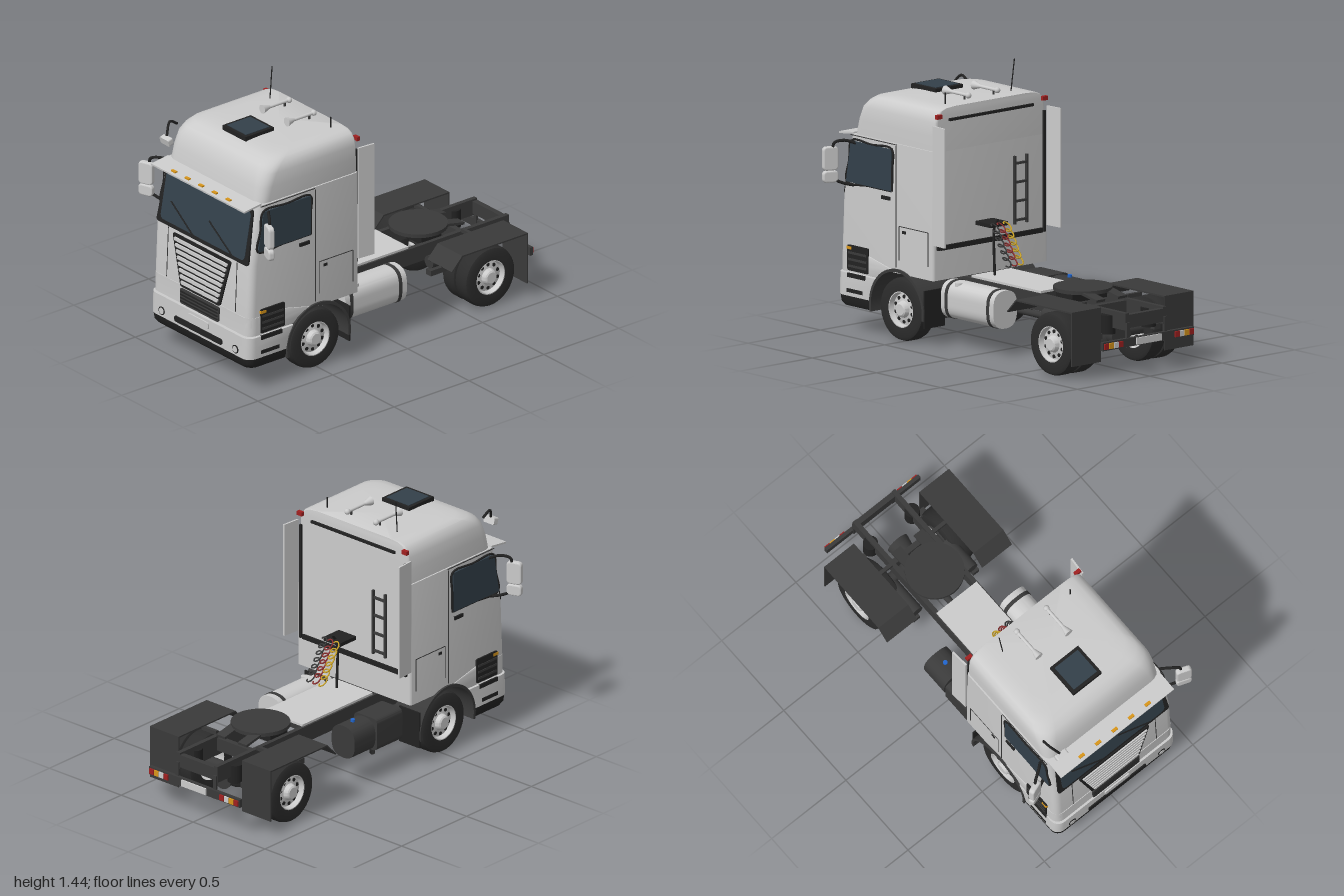
import * as THREE from 'three';
import { toCreasedNormals } from 'three/addons/utils/BufferGeometryUtils.js';

const mat = (color) => new THREE.MeshStandardMaterial({ color, side: THREE.DoubleSide });
const grey = mat(0xcccccc), dark = mat(0x3a3a3a), black = mat(0x222222), rubber = mat(0x2c2c2c);
const glass = mat(0x33404a), amber = mat(0xd9961a), red = mat(0xa02020), white = mat(0xeeeeee), blue = mat(0x2266cc);
const V = (x, y, z) => new THREE.Vector3(x, y, z);

// Rounded-rectangle sections stacked in y; level = [y, halfWidth, zFront, zBack, frontRadius]
function loft(levels) {
  const n = 6, ring = 4 * (n + 1), pos = [], idx = [];
  for (const [y, w, zf, zb, r] of levels) {
    for (let c = 0; c < 4; c++) for (let k = 0; k <= n; k++) {
      const a = (c + k / n) * Math.PI / 2, front = c === 0 || c === 3, q = front ? r : 0.015;
      pos.push((c < 2 ? w - q : q - w) + q * Math.sin(a), y, (front ? zf - q : zb + q) + q * Math.cos(a));
    }
  }
  for (let j = 0; j < levels.length - 1; j++) for (let i = 0; i < ring; i++) {
    const a = j * ring + i, b = j * ring + (i + 1) % ring;
    idx.push(a, b, b + ring, a, b + ring, a + ring);
  }
  [levels[0], levels.at(-1)].forEach((l, t) => {
    const c = pos.length / 3, base = t ? (levels.length - 1) * ring : 0;
    pos.push(0, l[0], (l[2] + l[3]) / 2);
    for (let i = 0; i < ring; i++) {
      const p = base + i, q = base + (i + 1) % ring;
      idx.push(c, t ? p : q, t ? q : p);
    }
  });
  const g = new THREE.BufferGeometry();
  g.setAttribute('position', new THREE.Float32BufferAttribute(pos, 3));
  g.setIndex(idx);
  return toCreasedNormals(g, 0.6);
}

// Trapezoid with rounded corners: half widths at bottom and top
function panel(wb, wt, y0, y1, r = 0.012, cx = 0) {
  const p = [[-wb, y0], [wb, y0], [wt, y1], [-wt, y1]].map(([x, y]) => new THREE.Vector2(x + cx, y));
  const s = new THREE.Shape();
  p.forEach((c, i) => {
    const a = p[(i + 3) % 4], b = p[(i + 1) % 4];
    const u = c.clone().add(a.clone().sub(c).setLength(r)), v = c.clone().add(b.clone().sub(c).setLength(r));
    if (i) s.lineTo(u.x, u.y); else s.moveTo(u.x, u.y);
    s.quadraticCurveTo(c.x, c.y, v.x, v.y);
  });
  s.closePath();
  return s;
}
const extrude = (s, depth) => new THREE.ExtrudeGeometry(s, { depth, bevelEnabled: false, curveSegments: 16 }).translate(0, 0, -depth / 2);

// z of the cab front at height y
function frontZ(y) {
  if (y < 0.31) return 0.985;
  return y < 0.71 ? 0.972 - (y - 0.36) * 0.043 : 0.957 - (y - 0.71) * 0.178;
}

export function createModel() {
  const root = new THREE.Group();
  const add = (name, geo, m, x = 0, y = 0, z = 0) => {
    const o = new THREE.Mesh(geo, m);
    o.name = name; o.position.set(x, y, z); root.add(o);
    return o;
  };
  const box = (name, m, w, h, d, x, y, z) => add(name, new THREE.BoxGeometry(w, h, d), m, x, y, z);
  const cyl = (name, m, r, h, x, y, z, axis = 'y', r2 = r) => {
    const g = new THREE.CylinderGeometry(r, r2, h, 28);
    if (axis === 'x') g.rotateZ(-Math.PI / 2);
    if (axis === 'z') g.rotateX(Math.PI / 2);
    return add(name, g, m, x, y, z);
  };
  const tube = (name, m, r, pts, seg = 20) =>
    add(name, new THREE.TubeGeometry(new THREE.CatmullRomCurve3(pts), seg, r, 8), m);
  const drape = (name, m, shape, off = 0) => {
    const g = extrude(shape, 0.012), p = g.attributes.position;
    for (let i = 0; i < p.count; i++) p.setZ(i, p.getZ(i) + frontZ(p.getY(i)) + off);
    g.computeVertexNormals();
    return add(name, g, m);
  };
  const sidePanel = (name, m, shape, x, depth = 0.01) => add(name, extrude(shape, depth).rotateY(-Math.PI / 2), m, x);
  const both = (f) => [-1, 1].forEach(f);

  // Cab shell, roof cap and bumper
  const arch = (y) => 0.515 + Math.sqrt(Math.max(0, 0.21 ** 2 - (y - 0.17) ** 2));
  add('cab', loft([[0.36, 0.395, 0.972, 0.24, 0.04], [0.71, 0.395, 0.957, 0.24, 0.04], [1.04, 0.388, 0.898, 0.24, 0.04]]), grey);
  add('roof', loft([[1.035, 0.38, 0.89, 0.24, 0.06], [1.12, 0.38, 0.875, 0.24, 0.07], [1.19, 0.377, 0.852, 0.24, 0.08],
    [1.225, 0.367, 0.825, 0.24, 0.09], [1.25, 0.347, 0.785, 0.24, 0.09], [1.262, 0.315, 0.73, 0.24, 0.09], [1.266, 0.26, 0.66, 0.24, 0.09]]), grey);
  const low = (y, w, z) => [y, w, z, arch(y), 0.05];
  add('bumperSill', loft([low(0.13, 0.39, 0.965), low(0.15, 0.4, 0.98), low(0.185, 0.403, 0.984)]), black);
  add('bumper', loft([low(0.185, 0.405, 0.985), low(0.25, 0.405, 0.985), low(0.305, 0.403, 0.985)]), grey);
  add('lampPanel', loft([low(0.312, 0.398, 0.975), low(0.34, 0.398, 0.974), low(0.375, 0.398, 0.973), [0.415, 0.398, 0.973, 0.73, 0.05]]), grey);

  // Windscreen, wipers, grilles
  drape('windscreenFrame', black, panel(0.373, 0.353, 0.708, 1.01, 0.02), 0.001);
  drape('windscreen', glass, panel(0.342, 0.342, 0.73, 0.995, 0.03), 0.004);
  [[-0.27, -0.07], [0.04, 0.25]].forEach(([a, b]) =>
    tube('wiper', black, 0.004, [V(a, 0.845, frontZ(0.845) + 0.015), V(b, 0.73, frontZ(0.73) + 0.015)], 4));
  drape('grilleFrame', black, panel(0.16, 0.237, 0.41, 0.687, 0.015), 0.002);
  for (let i = 0; i < 8; i++) {
    const y = 0.428 + i * 0.032, w = 0.147 + i * 0.0093;
    drape('grilleSlat', grey, panel(w, w + 0.005, y, y + 0.018, 0.006), 0.01);
  }
  drape('lowerGrille', dark, panel(0.155, 0.158, 0.318, 0.402), 0.004);
  for (let i = 0; i < 4; i++) box('lowerGrilleBar', black, 0.3, 0.006, 0.006, 0, 0.333 + i * 0.018, 0.984);
  drape('bumperSlot', black, panel(0.192, 0.192, 0.203, 0.235), 0.001);
  drape('frontPlate', white, panel(0.083, 0.083, 0.252, 0.29), 0.002).material = grey;
  both((s) => {
    cyl('fogLampRim', black, 0.023, 0.012, s * 0.3, 0.22, 0.983, 'z');
    cyl('fogLamp', grey, 0.018, 0.016, s * 0.3, 0.22, 0.983, 'z');
    drape('frontSeam', dark, panel(0.002, 0.002, 0.42, 0.7, 0.001, s * 0.28), -0.004);
  });

  // Sun visor with marker lamps
  box('sunVisor', grey, 0.76, 0.01, 0.115, 0, 1.036, 0.935).rotation.x = 0.12;
  for (let i = -2; i < 3; i++) box('visorLamp', amber, 0.034, 0.012, 0.016, i * 0.111, 1.038, 0.968);

  // Roof equipment
  box('roofHatch', black, 0.19, 0.025, 0.19, 0, 1.272, 0.655);
  box('roofHatchGlass', glass, 0.155, 0.006, 0.155, 0, 1.285, 0.655);
  both((s) => {
    cyl('hornPipe', grey, 0.009, 0.16, s * 0.1, 1.292, 0.38, 'z');
    cyl('hornBell', grey, 0.024, 0.05, s * 0.1, 1.292, 0.455, 'z', 0.009);
    add('hornBack', new THREE.SphereGeometry(0.016, 16, 10), grey, s * 0.1, 1.292, 0.3);
    cyl('hornFoot', dark, 0.006, 0.04, s * 0.1, 1.275, 0.33);
    box('rearMarkerLamp', red, 0.035, 0.022, 0.02, s * 0.365, 1.225, 0.232);
  });
  tube('longAntenna', black, 0.003, [V(-0.22, 1.26, 0.33), V(-0.227, 1.44, 0.31)], 2);
  tube('shortAntenna', black, 0.004, [V(0.25, 1.26, 0.31), V(0.25, 1.325, 0.31)], 2);

  // Kerb mirror above the windscreen
  tube('kerbMirrorArm', black, 0.007, [V(-0.365, 1.22, 0.83), V(-0.365, 1.245, 0.88), V(-0.335, 1.185, 0.925)]);
  add('kerbMirror', extrude(panel(0.036, 0.036, -0.02, 0.02, 0.01), 0.03), grey, -0.33, 1.165, 0.93).rotation.x = 0.3;

  // Cab sides, left and right
  both((s) => {
    const x = s * 0.394;
    const win = new THREE.Shape([[0.565, 0.785], [0.915, 0.785], [0.878, 1.005], [0.565, 1.005]].map((p) => new THREE.Vector2(...p)));
    sidePanel('sideWindow', glass, win, x, 0.012);
    tube('sideWindowSeal', black, 0.006, [V(x, 0.785, 0.56), V(x, 0.785, 0.74), V(x, 0.787, 0.915), V(x, 0.9, 0.896), V(x, 1.005, 0.878),
      V(x, 1.007, 0.72), V(x, 1.005, 0.562), V(x, 0.9, 0.56), V(x, 0.785, 0.56)], 60);
    box('doorHandle', black, 0.014, 0.018, 0.065, s * 0.397, 0.745, 0.605);
    box('doorRearSeam', dark, 0.004, 0.64, 0.004, s * 0.395, 0.71, 0.53);
    box('doorTopSeam', dark, 0.004, 0.004, 0.36, s * 0.389, 1.034, 0.71);
    [0.28, 0.505].forEach((z) => box('lockerSeam', dark, 0.004, 0.18, 0.004, s * 0.395, 0.52, z));
    box('lockerTopSeam', dark, 0.004, 0.004, 0.225, s * 0.395, 0.61, 0.392);
    box('lockerLatch', black, 0.008, 0.015, 0.025, s * 0.395, 0.583, 0.465);
    sidePanel('sideVent', black, panel(0.08, 0.08, 0.32, 0.455, 0.01, 0.82), s * 0.397, 0.014);
    for (let i = 0; i < 3; i++) box('ventBar', dark, 0.006, 0.012, 0.14, s * 0.404, 0.345 + i * 0.035, 0.82);
    box('sideIndicator', amber, 0.016, 0.015, 0.035, s * 0.399, 0.44, 0.885);
    box('stepSlot', black, 0.01, 0.022, 0.14, s * 0.402, 0.295, 0.83);
    box('lowerStepSlot', black, 0.01, 0.02, 0.12, s * 0.403, 0.215, 0.84);
    box('sideDeflector', grey, 0.01, 0.63, 0.1, s * 0.396, 0.865, 0.192).rotation.y = -s * 0.08;

    // Door mirrors
    [[0.918, 0.063], [0.822, 0.031]].forEach(([y, h]) => {
      const m = add('doorMirror', new THREE.ExtrudeGeometry(panel(0.034, 0.034, -h + 0.008, h - 0.008, 0.014),
        { depth: 0.016, bevelSize: 0.008, bevelThickness: 0.008, bevelSegments: 3 }).translate(0, 0, -0.008), grey, s * 0.5, y, 0.925);
      m.rotation.y = -s * 0.35;
    });
    tube('mirrorUpperArm', black, 0.008, [V(s * 0.38, 0.99, 0.83), V(s * 0.44, 1.012, 0.88), V(s * 0.485, 1.0, 0.91), V(s * 0.49, 0.96, 0.915)]);
    tube('mirrorLowerArm', black, 0.008, [V(s * 0.385, 0.77, 0.86), V(s * 0.44, 0.785, 0.89), V(s * 0.49, 0.81, 0.915)]);

    // Front wheel arch and mud flap
    const ring = new THREE.Shape();
    ring.absarc(0, 0, 0.213, -0.2, Math.PI + 0.15, false);
    ring.absarc(0, 0, 0.198, Math.PI + 0.15, -0.2, true);
    add('frontArch', toCreasedNormals(extrude(ring, 0.2).rotateY(-Math.PI / 2), 0.5), dark, s * 0.307, 0.17, 0.515);
    box('frontMudFlap', black, 0.14, 0.2, 0.008, s * 0.33, 0.2, 0.305);

    // Rear mudguard: sloped front, flat top, hanging flap
    const guard = new THREE.Shape([[-0.36, 0.3], [-0.43, 0.372], [-0.868, 0.372], [-0.868, 0.085], [-0.862, 0.085],
      [-0.862, 0.364], [-0.433, 0.364], [-0.365, 0.296]].map((p) => new THREE.Vector2(...p)));
    sidePanel('rearMudguard', dark, guard, s * 0.32, 0.2);
  });

  // Cab back: ladder and trim
  const bz = 0.234;
  [-0.15, -0.235].forEach((x) => box('ladderRail', dark, 0.012, 0.36, 0.014, x, 0.77, bz - 0.012));
  for (let i = 0; i < 4; i++) box('ladderRung', dark, 0.085, 0.012, 0.012, -0.192, 0.61 + i * 0.1, bz - 0.012);
  box('backLowerTrim', black, 0.7, 0.025, 0.012, 0, 0.53, bz);
  box('backUpperTrim', black, 0.58, 0.014, 0.012, 0, 1.2, bz);
  both((s) => box('backEdgeTrim', black, 0.014, 0.64, 0.014, s * 0.365, 0.84, bz));

  // Air lines
  tube('airLinePole', black, 0.007, [V(0.045, 0.35, 0.157), V(0.045, 0.62, 0.157), V(0.045, 0.655, 0.13)]);
  box('airLineBracket', black, 0.12, 0.02, 0.12, 0.045, 0.63, 0.18);
  [mat(0xc9a227), mat(0x8a3030), dark].forEach((m, k) => {
    const pts = [];
    for (let i = 0; i <= 60; i++) {
      const t = i / 60, a = t * Math.PI * 12;
      pts.push(V(0.005 + k * 0.042 + 0.018 * Math.cos(a), 0.635 - 0.195 * t + 0.012 * Math.sin(a), 0.11 - 0.11 * t + 0.018 * Math.sin(a)));
    }
    tube('coiledAirLine', m, 0.004, pts, 140);
  });

  // Chassis
  both((s) => {
    box('frameRail', dark, 0.025, 0.09, 1.85, s * 0.13, 0.3, -0.045);
    cyl('airSpring', black, 0.04, 0.1, s * 0.14, 0.27, -0.83);
    box('springArm', dark, 0.04, 0.03, 0.45, s * 0.2, 0.21, -0.61);
    cyl('airTank', dark, 0.035, 0.2, s * 0.185, 0.26, -0.5, 'z');
    box('mudguardStay', dark, 0.1, 0.02, 0.02, s * 0.19, 0.35, -0.66);
    box('frontSpring', dark, 0.04, 0.025, 0.5, s * 0.15, 0.22, 0.55);
    box('lampBarStay', dark, 0.02, 0.13, 0.014, s * 0.13, 0.23, -0.972);
    [red, amber, white, red].forEach((m, i) => box('tailLamp', m, 0.03, 0.03, 0.012, s * (0.293 - i * 0.033), 0.195, -0.992));
  });
  [-0.955, -0.67, -0.2, 0.85].forEach((z) => box('crossMember', dark, 0.26, 0.07, 0.03, 0, 0.3, z));
  box('lampBar', dark, 0.63, 0.045, 0.02, 0, 0.195, -0.98);
  box('rearPlate', grey, 0.17, 0.036, 0.01, 0, 0.195, -0.993);
  box('deckPlate', grey, 0.27, 0.012, 0.54, 0, 0.353, -0.035);
  box('engine', dark, 0.2, 0.2, 0.6, 0, 0.27, 0.58);
  cyl('driveShaft', dark, 0.018, 0.95, 0, 0.19, -0.18, 'z');
  cyl('rearAxle', dark, 0.03, 0.6, 0, 0.168, -0.655, 'x');
  cyl('frontAxle', dark, 0.025, 0.6, 0, 0.168, 0.515, 'x');
  add('differential', new THREE.SphereGeometry(0.078, 24, 16), dark, 0, 0.168, -0.655);
  cyl('differentialNose', dark, 0.045, 0.1, 0, 0.18, -0.73, 'z', 0.065);

  // Coupling plate with ramps
  cyl('couplingPlate', dark, 0.155, 0.02, 0, 0.388, -0.48);
  box('couplingBase', black, 0.24, 0.05, 0.13, 0, 0.355, -0.47);
  both((s) => box('couplingRamp', dark, 0.06, 0.014, 0.14, s * 0.075, 0.375, -0.635).rotation.x = -0.2);

  // Fuel tank on the left, battery box and fluid tank on the right
  const barrel = (w, h, r, len) => toCreasedNormals(extrude(panel(w, w, -h, h, r), len), 0.5);
  add('fuelTank', barrel(0.081, 0.1, 0.08, 0.41), grey, 0.238, 0.25, 0.062);
  [0.225, -0.1].forEach((z) => add('tankStrap', barrel(0.084, 0.103, 0.082, 0.02), dark, 0.238, 0.25, z));
  cyl('fuelCap', grey, 0.02, 0.02, 0.28, 0.338, 0.17);
  add('fluidTank', barrel(0.08, 0.09, 0.08, 0.16), dark, -0.272, 0.25, -0.065);
  add('batteryBox', barrel(0.08, 0.09, 0.03, 0.195), dark, -0.272, 0.25, 0.125);
  cyl('fluidCap', blue, 0.012, 0.02, -0.272, 0.343, -0.07);
  tube('exhaustPipe', black, 0.015, [V(-0.25, 0.16, 0.16), V(-0.26, 0.14, 0.1), V(-0.29, 0.125, 0.06)]);

  // Wheels
  const lathe = (pts) => toCreasedNormals(new THREE.LatheGeometry(pts.map((p) => new THREE.Vector2(...p)), 40), 0.6);
  const tyre = lathe([[0.095, -0.048], [0.145, -0.05], [0.16, -0.043], [0.166, -0.025], [0.166, 0.025], [0.16, 0.043], [0.145, 0.05], [0.095, 0.048]]);
  const rim = lathe([[0.098, -0.045], [0.09, 0], [0.098, 0.047], [0.09, 0.048], [0.083, 0.02], [0.045, 0.028], [0.038, 0.05], [0.03, 0.056], [0, 0.056]]);
  const hole = new THREE.CylinderGeometry(0.01, 0.01, 0.01, 12);
  const wheel = (name, s, x, z) => {
    const w = new THREE.Group();
    w.name = name;
    w.add(new THREE.Mesh(tyre, rubber), new THREE.Mesh(rim, grey));
    for (let i = 0; i < 10; i++) {
      const a = i * Math.PI / 5, h = new THREE.Mesh(hole, black);
      h.position.set(0.066 * Math.cos(a), 0.022, 0.066 * Math.sin(a));
      w.add(h);
    }
    w.position.set(s * x, 0.166, z);
    w.rotation.z = -s * Math.PI / 2;
    root.add(w);
  };
  both((s) => {
    wheel('frontWheel', s, 0.328, 0.515);
    wheel('rearOuterWheel', s, 0.33, -0.655);
    wheel('rearInnerWheel', s, 0.228, -0.655);
  });
  return root;
}
